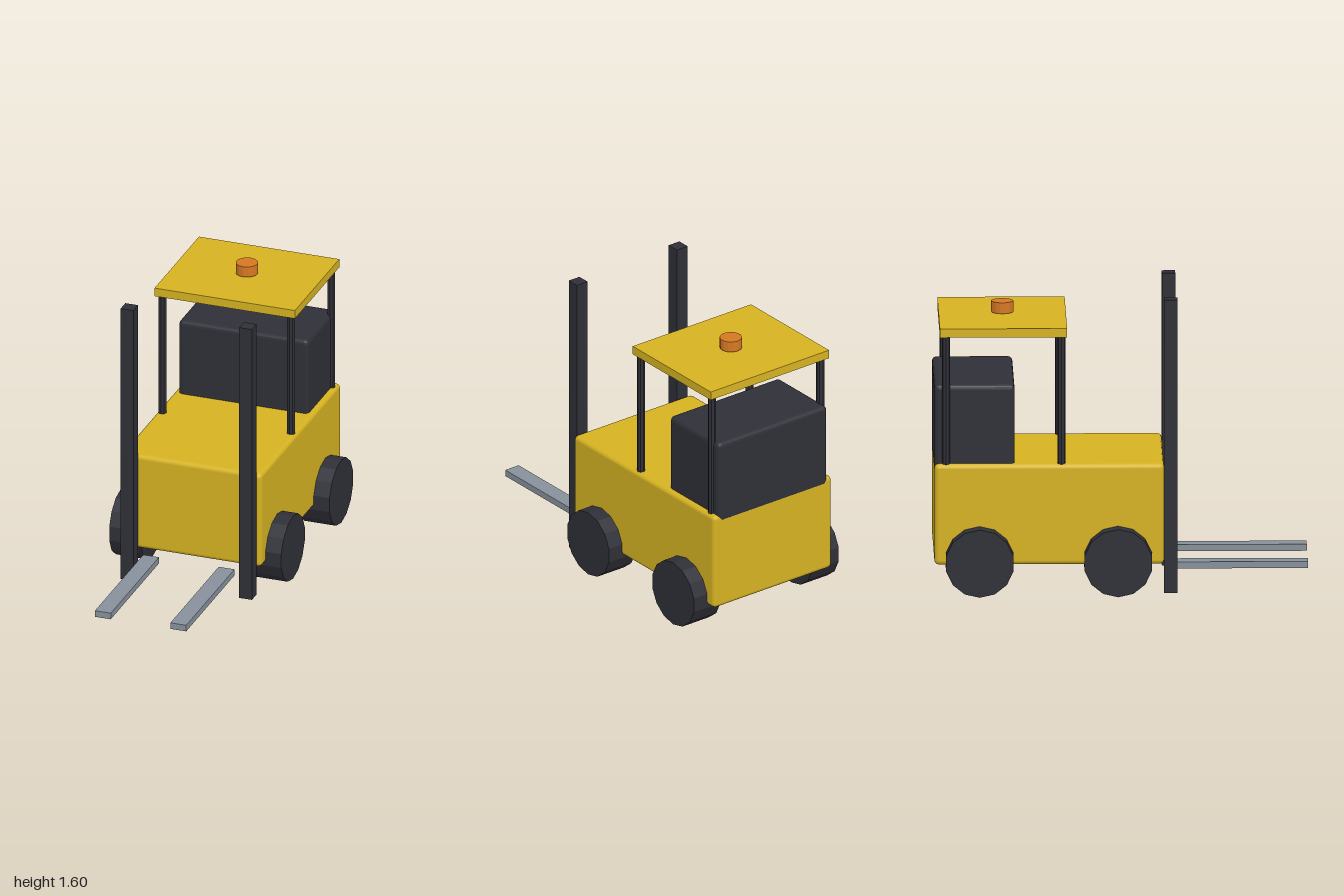
import * as THREE from 'three';
import { RoundedBoxGeometry } from 'three/addons/geometries/RoundedBoxGeometry.js';

const material = (name, color, flatShading = false) => {
  const m = new THREE.MeshStandardMaterial({ color, flatShading });
  m.name = name;
  return m;
};

export function createModel() {
  const yellow = material('yellow paint', 0xd6b322);
  const dark = material('dark rubber and metal', 0x2f2f38, true);
  const steel = material('fork steel', 0x87919c);
  const orange = material('beacon orange', 0xd67823, true);

  const model = new THREE.Group();
  model.name = 'forklift';

  const add = (name, geometry, mat, x, y, z) => {
    const mesh = new THREE.Mesh(geometry, mat);
    mesh.name = name;
    mesh.position.set(x, y, z);
    model.add(mesh);
    return mesh;
  };
  // Box given by its extents on each axis, rounded when a radius is set
  const box = (name, mat, [x0, x1], [y0, y1], [z0, z1], radius = 0) => {
    const size = [x1 - x0, y1 - y0, z1 - z0];
    const geometry = radius
      ? new RoundedBoxGeometry(...size, 2, radius)
      : new THREE.BoxGeometry(...size);
    return add(name, geometry, mat, (x0 + x1) / 2, (y0 + y1) / 2, (z0 + z1) / 2);
  };

  // Chassis, rear counterweight and overhead guard
  box('body', yellow, [-0.4, 0.4], [0.16, 0.71], [-0.999, 0.228], 0.025);
  box('counterweight', dark, [-0.37, 0.37], [0.66, 1.14], [-1, -0.57], 0.025);
  box('roof', yellow, [-0.4, 0.4], [1.405, 1.453], [-0.97, -0.29]);

  // Warning beacon
  add('beacon', new THREE.CylinderGeometry(0.06, 0.06, 0.06, 14), orange, 0, 1.49, -0.63);

  const wheel = new THREE.CylinderGeometry(0.185, 0.185, 0.18, 14).rotateZ(Math.PI / 2);
  // Turn a corner to the bottom of each wheel
  wheel.rotateX(Math.PI / 2);
  const post = new THREE.CylinderGeometry(0.022, 0.022, 0.71, 8);

  for (const [side, s] of [['left', 1], ['right', -1]]) {
    for (const [end, wheelZ, postZ] of [['Front', -0.018, -0.32], ['Rear', -0.758, -0.937]]) {
      add(side + end + 'Wheel', wheel, dark, s * 0.4, 0.187, wheelZ);
      add(side + end + 'Post', post, dark, s * 0.366, 1.05, postZ);
    }
    // Lifting mast and fork
    const mast = box(side + 'Mast', dark, [0.302, 0.374], [0, 1.6], [0.228, 0.3]);
    const fork = box(side + 'Fork', steel, [0.17, 0.26], [0.108, 0.144], [0.26, 1]);
    mast.position.x *= s;
    fork.position.x *= s;
  }
  return model;
}
